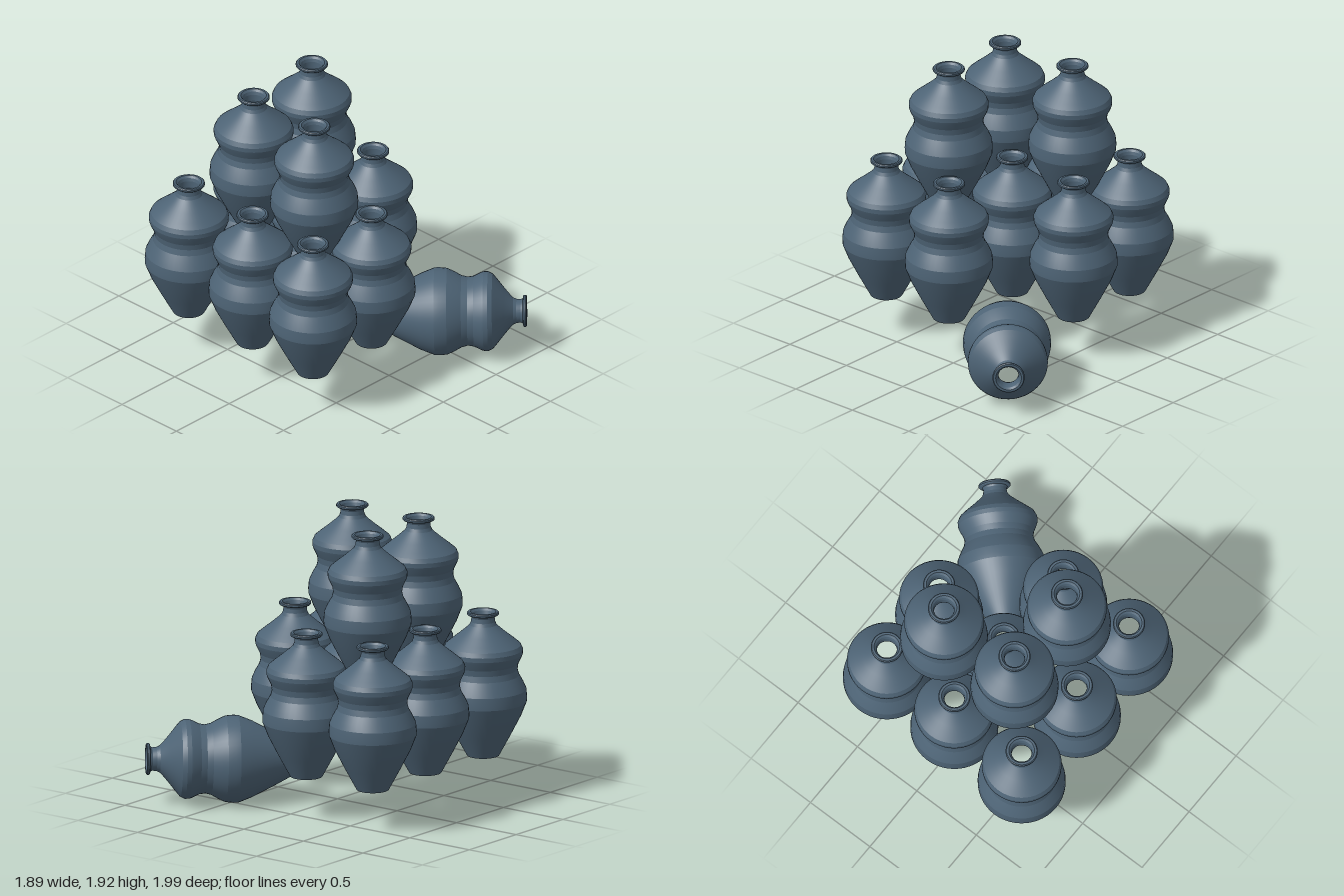
import * as THREE from 'three';
import { toCreasedNormals } from 'three/addons/utils/BufferGeometryUtils.js';

const HEIGHT = 0.98;
const BASE_RADIUS = 0.107;

// Jar silhouette [radius, height]: up the outside, over the lip, down inside the neck
const PROFILE = [
  [BASE_RADIUS, 0], [0.185, 0.145], [0.254, 0.28], [0.29, 0.372],
  [0.291, 0.405], [0.286, 0.455], [0.266, 0.5], [0.238, 0.55],
  [0.228, 0.59], [0.234, 0.63], [0.258, 0.68], [0.263, 0.695], [0.264, 0.725],
  [0.25, 0.755], [0.217, 0.783], [0.16, 0.828], [0.115, 0.866],
  [0.09, 0.89], [0.08, 0.912], [0.077, 0.94], [0.083, 0.953],
  [0.1, 0.957], [0.106, 0.963], [0.106, 0.974], [0.1, HEIGHT],
  [0.085, HEIGHT], [0.073, 0.966], [0.067, 0.945], [0.067, 0.9], [0.075, 0.875],
];

// Upright jars [x, z] for each layer
const LAYERS = [
  { name: 'lowerJar', y: 0.293, spots: [
    [-0.652, -0.709], [-0.066, -0.685], [0.499, -0.688],
    [-0.652, -0.122], [-0.066, -0.157], [0.5, -0.131],
    [-0.652, 0.434], [-0.098, 0.434],
  ] },
  { name: 'upperJar', y: 0.953, spots: [
    [-0.351, -0.405], [0.224, -0.428], [-0.351, 0.153],
  ] },
];

export function createModel() {
  const model = new THREE.Group();
  model.name = 'jarStack';

  const clay = new THREE.MeshStandardMaterial({ color: 0x4d6375 });
  clay.name = 'slateBlueClay';

  const points = PROFILE.map(([r, y]) => new THREE.Vector2(r, y));
  const bodyGeometry = toCreasedNormals(new THREE.LatheGeometry(points, 48), 0.22);
  const baseGeometry = new THREE.CircleGeometry(BASE_RADIUS, 48).rotateX(Math.PI / 2);

  function addJar(name, x, y, z) {
    const jar = new THREE.Group();
    jar.name = name;
    const body = new THREE.Mesh(bodyGeometry, clay);
    body.name = 'jarBody';
    const base = new THREE.Mesh(baseGeometry, clay);
    base.name = 'jarBase';
    jar.add(body, base);
    jar.position.set(x, y, z);
    model.add(jar);
    return jar;
  }

  // Two stacked layers of standing jars
  for (const { name, y, spots } of LAYERS) {
    spots.forEach(([x, z], i) => addJar(`${name}${i + 1}`, x, y, z));
  }

  // Jar lying on its side in the empty corner
  const fallen = addJar('fallenJar', 0.203, 0.295, 0.206);
  const axis = new THREE.Vector3(0.663, 0.018, 0.715).normalize();
  fallen.quaternion.setFromUnitVectors(new THREE.Vector3(0, 1, 0), axis);

  return model;
}
